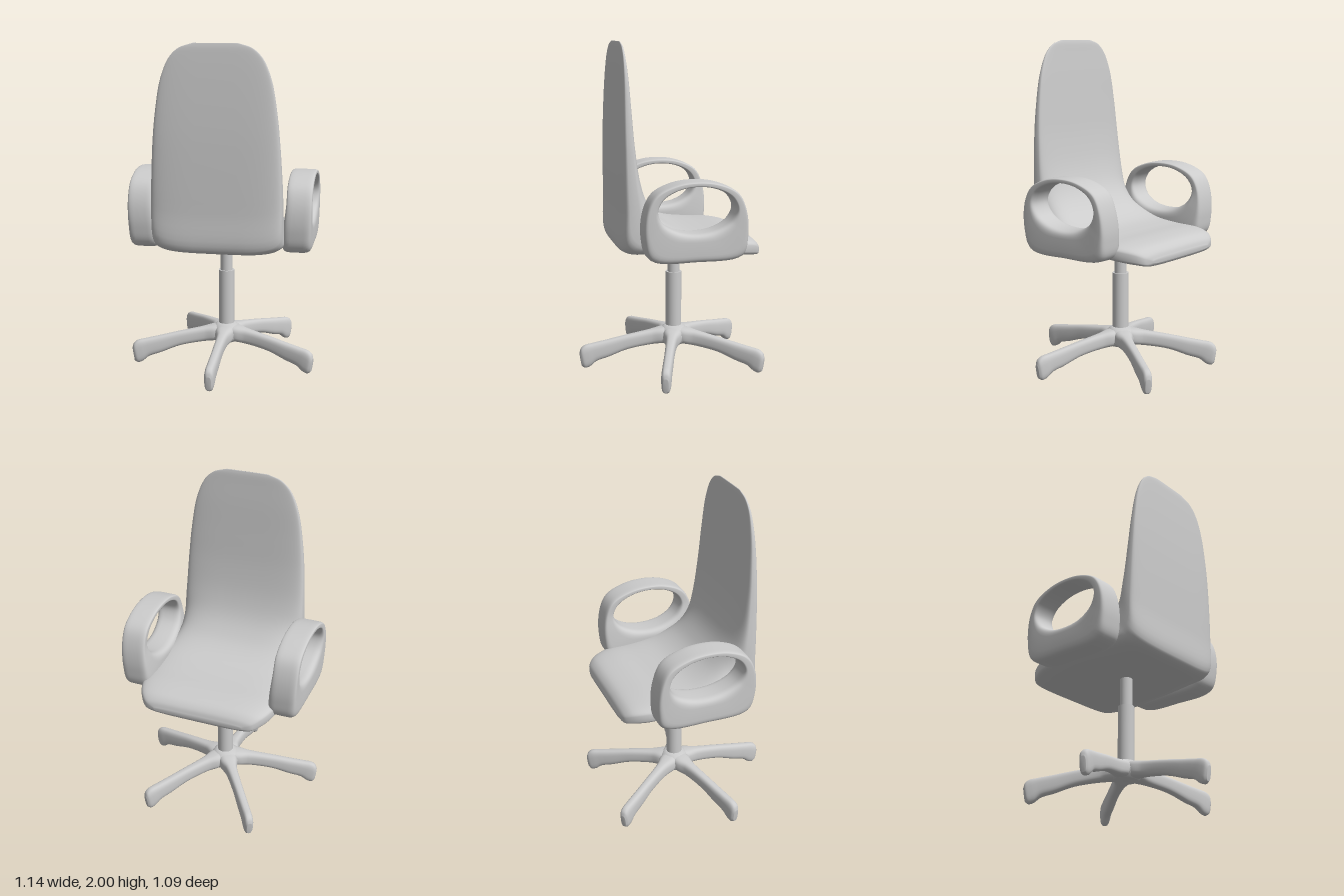
import * as THREE from 'three';

const material = new THREE.MeshStandardMaterial({ color: 0xcccccc, side: THREE.DoubleSide });

// Smooth loft of rounded sections. Each station: [topZ, topY, bottomZ, bottomY, halfWidth, centreX]
function loft(stations, { steps, power, closed = false, sides = 40 }) {
  const curve = pick => new THREE.CatmullRomCurve3(stations.map(s => new THREE.Vector3(...pick(s))), closed);
  const upper = curve(s => [s[0], s[1], s[4]]);
  const lower = curve(s => [s[2], s[3], s[5] ?? 0]);
  const soft = v => Math.sign(v) * Math.abs(v) ** power;
  const rows = closed ? steps : steps + 1;
  const pos = [], index = [];
  for (let i = 0; i < rows; i++) {
    const a = upper.getPoint(i / steps), b = lower.getPoint(i / steps);
    for (let j = 0; j < sides; j++) {
      const t = (j / sides) * Math.PI * 2;
      const k = (1 + soft(Math.sin(t))) / 2;
      pos.push(b.z + a.z * soft(Math.cos(t)), b.y + (a.y - b.y) * k, b.x + (a.x - b.x) * k);
    }
  }
  for (let i = 0; i < steps; i++) {
    for (let j = 0; j < sides; j++) {
      const n = (i + 1) % rows, m = (j + 1) % sides;
      const p = i * sides + j, q = i * sides + m, r = n * sides + m, s = n * sides + j;
      index.push(p, q, r, p, r, s);
    }
  }
  // End caps
  if (!closed) {
    for (const [row, flip] of [[0, true], [steps, false]]) {
      const a = upper.getPoint(row / steps), b = lower.getPoint(row / steps);
      const pole = pos.length / 3;
      pos.push(b.z, (a.y + b.y) / 2, (a.x + b.x) / 2);
      for (let j = 0; j < sides; j++) {
        const p = row * sides + j, q = row * sides + (j + 1) % sides;
        index.push(pole, flip ? q : p, flip ? p : q);
      }
    }
  }
  const g = new THREE.BufferGeometry();
  g.setAttribute('position', new THREE.Float32BufferAttribute(pos, 3));
  g.setIndex(index);
  g.computeVertexNormals();
  return g;
}

export function createModel() {
  const chair = new THREE.Group();
  chair.name = 'officeChair';
  const add = (name, geometry, parent = chair) => {
    const mesh = new THREE.Mesh(geometry, material);
    mesh.name = name;
    parent.add(mesh);
    return mesh;
  };
  const centreZ = -0.048;

  // Seat sweeping up into the tall backrest, from front lip to top edge
  add('seatAndBackrest', loft([
    [-0.507, 0.775, -0.505, 0.75, 0.27],
    [-0.49, 0.815, -0.49, 0.733, 0.335],
    [-0.45, 0.845, -0.44, 0.735, 0.38],
    [-0.35, 0.865, -0.35, 0.745, 0.42],
    [-0.2, 0.872, -0.2, 0.757, 0.43],
    [-0.05, 0.895, -0.02, 0.763, 0.43],
    [0.06, 0.95, 0.15, 0.767, 0.41],
    [0.13, 1.02, 0.3, 0.77, 0.395],
    [0.18, 1.1, 0.341, 0.8, 0.392],
    [0.22, 1.22, 0.345, 1.02, 0.39],
    [0.25, 1.4, 0.343, 1.4, 0.376],
    [0.268, 1.6, 0.337, 1.6, 0.357],
    [0.283, 1.8, 0.327, 1.8, 0.322],
    [0.294, 1.92, 0.319, 1.92, 0.27],
    [0.299, 1.975, 0.314, 1.975, 0.21],
    [0.304, 2.0, 0.309, 2.0, 0.13],
  ], { steps: 90, power: 0.5, sides: 56 }));

  // Armrests: flat bands around an oval opening, solid below it
  const armOutline = [
    [0.24, 1.06], [0.185, 1.16], [0.07, 1.215], [-0.055, 1.23],
    [-0.18, 1.215], [-0.295, 1.16], [-0.345, 1.06], [-0.36, 0.9],
    [-0.33, 0.79], [-0.055, 0.763], [0.21, 0.785], [0.25, 0.9],
  ];
  for (const [side, sign] of [['left', 1], ['right', -1]]) {
    const stations = armOutline.map(([z, y], i) => {
      const t = (i / armOutline.length) * Math.PI * 2;
      const low = Math.max(0, -Math.sin(t));
      return [
        -0.058 + 0.228 * Math.cos(t), 1.065 + 0.136 * Math.sin(t), z, y,
        0.076 + 0.014 * low, sign * (0.479 - 0.018 * low),
      ];
    });
    add(side + 'Armrest', loft(stations, { steps: 84, power: 0.42, closed: true }));
  }

  // Gas lift: wide sleeve and thinner piston
  const cylinder = (name, radius, y0, y1) => {
    add(name, new THREE.CylinderGeometry(radius, radius, y1 - y0, 40))
      .position.set(0, (y0 + y1) / 2, centreZ);
  };
  cylinder('columnSleeve', 0.049, 0.2, 0.585);
  cylinder('columnPiston', 0.038, 0.57, 0.8);

  // Five-legged base
  const base = new THREE.Group();
  base.name = 'base';
  base.position.z = centreZ;
  chair.add(base);
  const hubProfile = [[0, 0.125], [0.07, 0.125], [0.1, 0.15], [0.1, 0.185], [0.08, 0.222], [0.05, 0.242], [0, 0.242]];
  add('hub', new THREE.LatheGeometry(hubProfile.map(p => new THREE.Vector2(...p)), 40), base);

  const legGeometry = loft([
    [0.0, 0.236, 0.0, 0.13, 0.06],
    [0.08, 0.228, 0.08, 0.128, 0.058],
    [0.15, 0.216, 0.15, 0.122, 0.038],
    [0.3, 0.192, 0.3, 0.1, 0.03],
    [0.43, 0.168, 0.42, 0.06, 0.03],
    [0.51, 0.154, 0.495, 0.038, 0.03],
    [0.565, 0.143, 0.535, 0.008, 0.03],
    [0.588, 0.125, 0.565, 0.0, 0.027],
    [0.598, 0.095, 0.585, 0.012, 0.016],
  ], { steps: 48, power: 0.7, sides: 28 });
  for (let i = 0; i < 5; i++) {
    add('leg' + (i + 1), legGeometry, base).rotation.y = (i / 5) * Math.PI * 2;
  }

  return chair;
}
